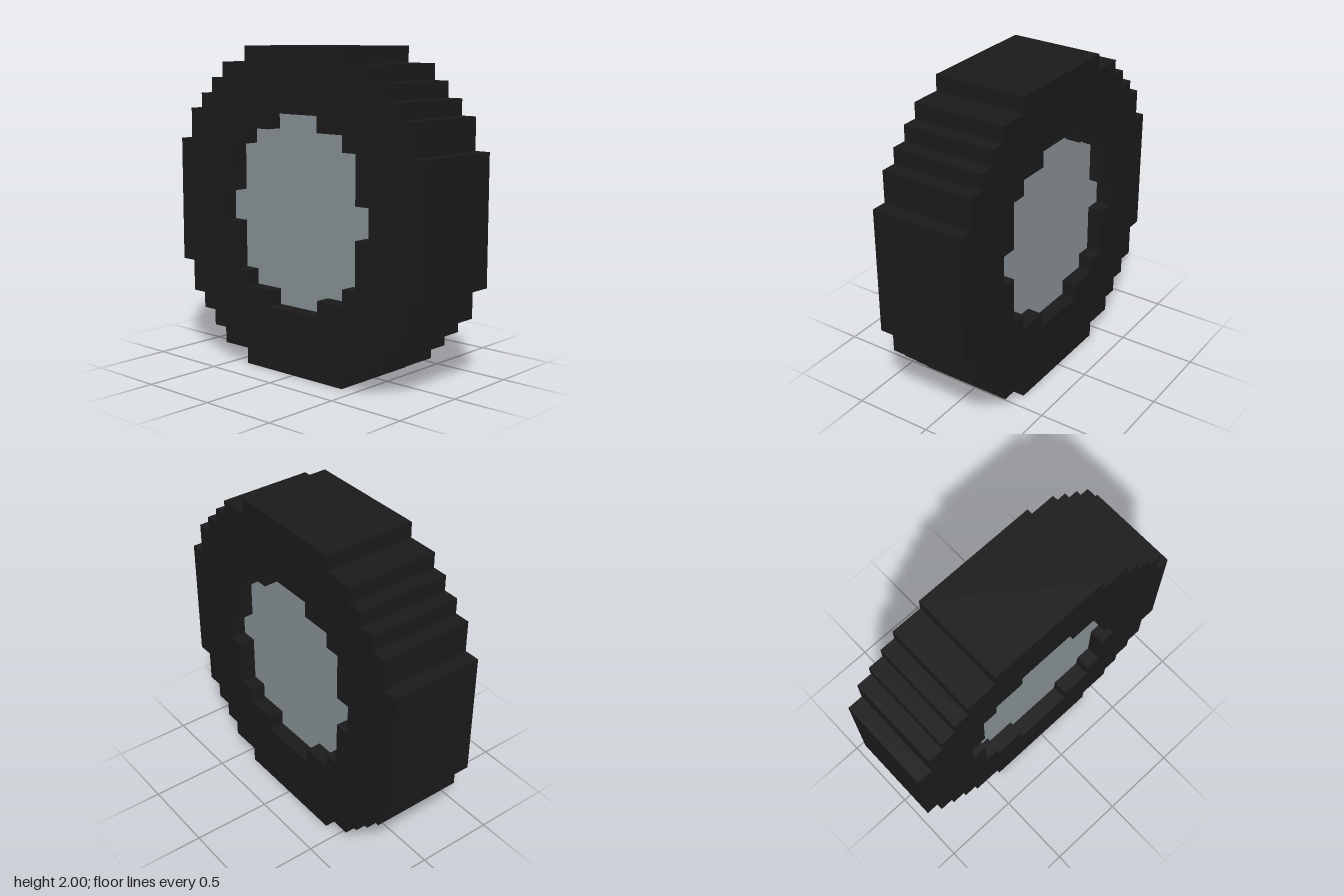
import * as THREE from 'three';

// Upper-right quadrant corners of each stepped disc, from top to side
const TYRE_STEPS = [[0.4, 1], [0.4, 0.9], [0.6, 0.9], [0.6, 0.8], [0.7, 0.8], [0.7, 0.7],
  [0.8, 0.7], [0.8, 0.6], [0.9, 0.6], [0.9, 0.4], [1, 0.4]];
const HUB_STEPS = [[0.2, 0.6], [0.2, 0.5], [0.4, 0.5], [0.4, 0.4], [0.5, 0.4], [0.5, 0.1], [0.6, 0.1]];

// Mirror a quadrant into a full closed outline, clockwise
function outline(steps) {
  const back = [...steps].reverse();
  const place = (list, sx, sy) => list.map(([x, y]) => new THREE.Vector2(x * sx, y * sy));
  return [...place(steps, 1, 1), ...place(back, 1, -1), ...place(steps, -1, -1), ...place(back, -1, 1)];
}

function slab(name, shape, depth, material) {
  const geometry = new THREE.ExtrudeGeometry(shape, { depth, bevelEnabled: false });
  geometry.translate(0, 1, -depth / 2);
  const mesh = new THREE.Mesh(geometry, material);
  mesh.name = name;
  return mesh;
}

export function createModel() {
  const rubber = new THREE.MeshStandardMaterial({ color: 0x1b1b1b });
  rubber.name = 'black rubber';
  const metal = new THREE.MeshStandardMaterial({ color: 0x899296 });
  metal.name = 'grey metal';

  const group = new THREE.Group();
  group.name = 'wheel';

  // Stepped tyre ring; the hole winds the other way so its walls face inward
  const tyreShape = new THREE.Shape(outline(TYRE_STEPS));
  tyreShape.holes.push(new THREE.Path(outline(HUB_STEPS).reverse()));
  group.add(slab('tyre', tyreShape, 0.6, rubber));

  // Hub disc, recessed on both sides
  group.add(slab('hub', new THREE.Shape(outline(HUB_STEPS)), 0.4, metal));
  return group;
}
